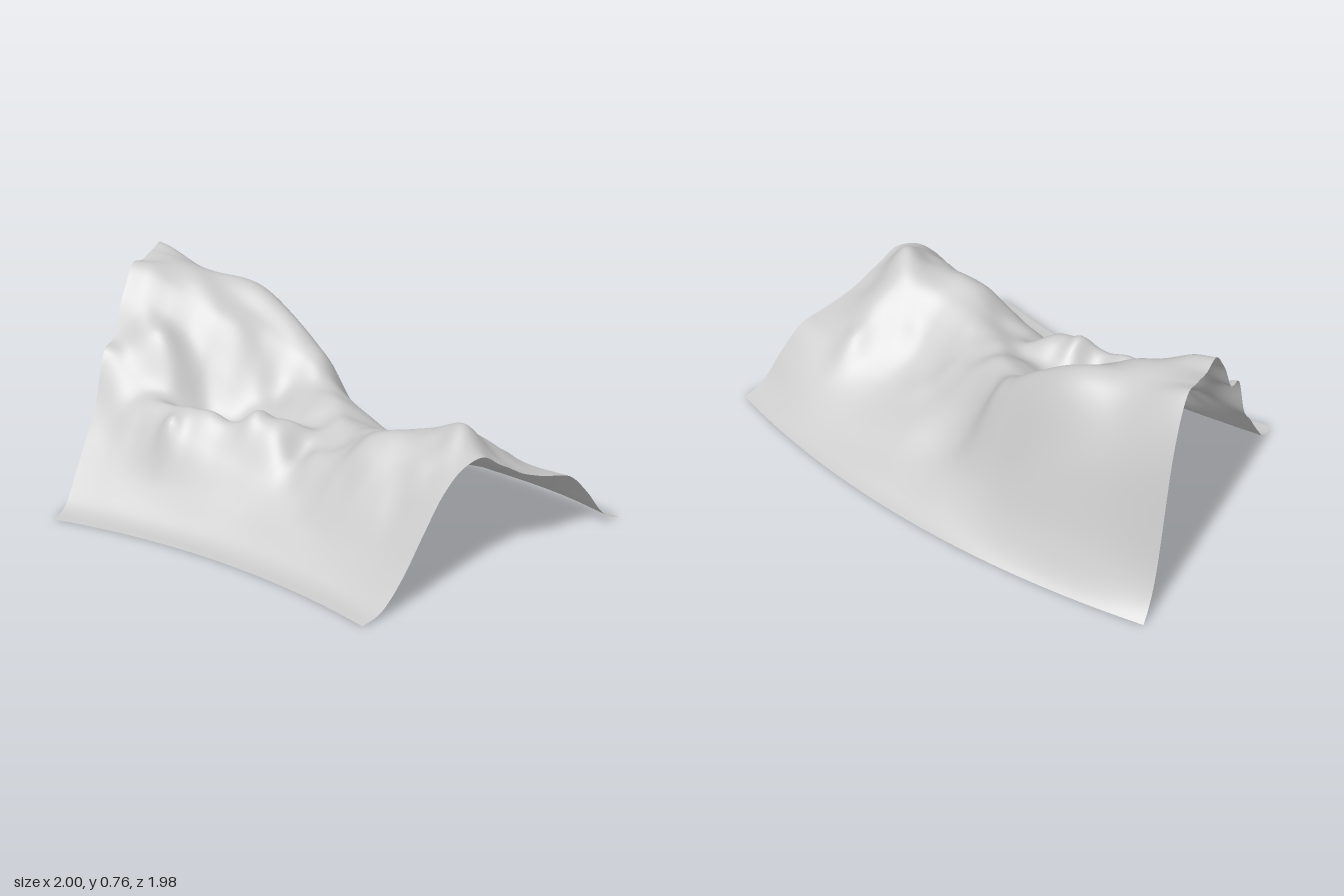
import * as THREE from 'three';

// Plan of the ring sector: centre, inner radius, width, start angle and sweep
const CENTRE = { x: -2.273, z: 2.396 };
const INNER = 2.65, WIDTH = 1.217;
const START = THREE.MathUtils.degToRad(61.3), SWEEP = THREE.MathUtils.degToRad(29.05);

// Cross-section heights from inner to outer rim, ordered along the arc
const SECTIONS = [
  [0, .015, .10, .20, .30, .48, .51, .65, .75, .74, .75, .745, .56, .15, 0],
  [0, .02, .11, .22, .34, .39, .54, .57, .66, .71, .70, .63, .46, .17, 0],
  [0, .02, .12, .28, .36, .30, .29, .42, .55, .60, .66, .60, .38, .14, 0],
  [0, .02, .12, .25, .35, .30, .28, .31, .37, .48, .51, .39, .19, .07, 0],
  [0, .02, .11, .22, .34, .37, .32, .36, .38, .35, .24, .15, .09, .04, 0],
  [0, .02, .11, .20, .29, .32, .35, .34, .30, .24, .18, .13, .08, .04, 0],
  [0, .02, .11, .24, .36, .42, .40, .35, .28, .22, .17, .13, .09, .04, 0],
  [0, .02, .11, .23, .34, .43, .46, .46, .40, .33, .26, .19, .12, .05, 0],
  [0, .025, .115, .24, .36, .43, .44, .38, .325, .29, .265, .235, .15, .045, 0],
];

// Local knobs, spurs and gullies: along, across, both spreads, height
const BUMPS = [
  [.93, .45, .035, .06, .045], // low summit
  [.56, .31, .035, .06, -.06], // gully through the crest
  [.235, .22, .03, .035, .05], // crest knob
  [.43, .33, .025, .05, .04], // crest knob
  [.86, .72, .03, .06, .03], // outer spur
  [.43, .70, .03, .07, .03], // shoulder of the high peak
];

// Catmull-Rom through evenly spaced values
function spline(values, t) {
  const n = values.length - 1;
  const i = Math.min(Math.floor(t * n), n - 1), f = t * n - i;
  const at = (k) => values[THREE.MathUtils.clamp(k, 0, n)];
  const a = at(i - 1), b = at(i), c = at(i + 1), d = at(i + 2);
  return b + 0.5 * f * (c - a + f * (2 * a - 5 * b + 4 * c - d + f * (3 * (b - c) + d - a)));
}

// Smooth value noise on an integer lattice, in -1..1
function hash(x, y) {
  const s = Math.sin(x * 127.1 + y * 311.7) * 43758.5453;
  return (s - Math.floor(s)) * 2 - 1;
}
function noise(x, y) {
  const i = Math.floor(x), j = Math.floor(y);
  const f = THREE.MathUtils.smoothstep(x - i, 0, 1), g = THREE.MathUtils.smoothstep(y - j, 0, 1);
  const lerp = THREE.MathUtils.lerp;
  return lerp(lerp(hash(i, j), hash(i + 1, j), f), lerp(hash(i, j + 1), hash(i + 1, j + 1), f), g);
}

// Broad relief, local features and rocky detail that fades out towards both rims
function height(u, v) {
  let y = spline(SECTIONS.map((s) => spline(s, v)), u);
  for (const [bu, bv, su, sv, h] of BUMPS) {
    y += h * Math.exp(-(((u - bu) / su) ** 2) - ((v - bv) / sv) ** 2);
  }
  const fade = THREE.MathUtils.smoothstep(v, 0.15, 0.32) * (1 - THREE.MathUtils.smoothstep(v, 0.55, 0.8));
  return Math.max(0, y + 0.012 * fade * noise(u * 19, v * 13));
}

export function createModel() {
  const group = new THREE.Group();
  group.name = 'mountainSector';

  // Plane grid bent into the ring sector and raised into a mountain
  const geometry = new THREE.PlaneGeometry(1, 1, 140, 100);
  const p = geometry.attributes.position;
  for (let i = 0; i < p.count; i++) {
    const u = THREE.MathUtils.clamp(p.getX(i) + 0.5, 0, 1);
    const v = THREE.MathUtils.clamp(p.getY(i) + 0.5, 0, 1);
    const r = INNER + WIDTH * v, a = START - SWEEP * u;
    p.setXYZ(i, CENTRE.x + r * Math.cos(a), height(u, v), CENTRE.z - r * Math.sin(a));
  }
  geometry.computeVertexNormals();

  const material = new THREE.MeshStandardMaterial({ color: 0xcccccc, side: THREE.DoubleSide });
  const terrain = new THREE.Mesh(geometry, material);
  terrain.name = 'mountainTerrain';
  group.add(terrain);
  return group;
}
